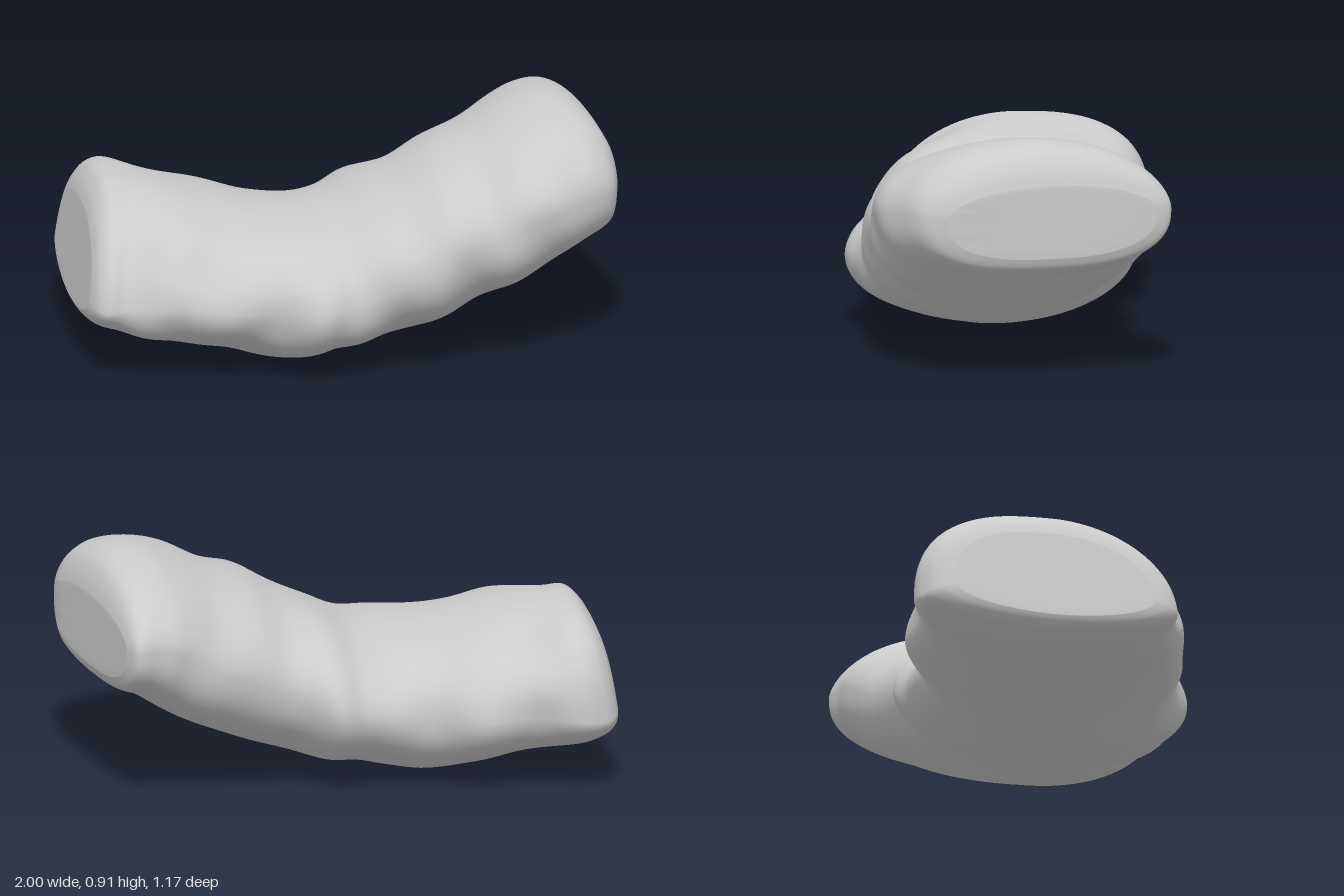
import * as THREE from 'three';

// Cross-sections along the sleeve: x, top y, bottom y, y of widest point, front z, back z
const sections = [
  [-0.995, 0.37, 0.37, 0.37, -0.08, -0.08],
  [-0.995, 0.56, 0.21, 0.31, 0.29, -0.46],
  [-0.975, 0.615, 0.185, 0.30, 0.35, -0.52],
  [-0.93, 0.66, 0.155, 0.29, 0.385, -0.565],
  [-0.84, 0.66, 0.12, 0.30, 0.385, -0.59],
  [-0.65, 0.635, 0.08, 0.31, 0.48, -0.55],
  [-0.48, 0.595, 0.04, 0.30, 0.49, -0.55],
  [-0.32, 0.563, 0.003, 0.29, 0.51, -0.475],
  [-0.17, 0.555, 0.015, 0.30, 0.58, -0.45],
  [-0.05, 0.57, 0.045, 0.32, 0.54, -0.455],
  [0.06, 0.62, 0.06, 0.34, 0.53, -0.49],
  [0.2, 0.68, 0.09, 0.40, 0.54, -0.41],
  [0.33, 0.75, 0.135, 0.46, 0.56, -0.43],
  [0.47, 0.80, 0.20, 0.51, 0.515, -0.46],
  [0.6, 0.86, 0.26, 0.58, 0.54, -0.50],
  [0.74, 0.905, 0.33, 0.63, 0.505, -0.53],
  [0.86, 0.908, 0.395, 0.65, 0.45, -0.55],
  [0.94, 0.875, 0.425, 0.65, 0.395, -0.565],
  [0.98, 0.82, 0.45, 0.65, 0.345, -0.56],
  [1.0, 0.76, 0.49, 0.65, 0.27, -0.51],
  [1.0, 0.65, 0.65, 0.65, -0.08, -0.08],
];

// Soft bulges and hollows in the cloth: x, y, z, radius, height
const bumps = [
  [-0.78, 0.18, 0.35, 0.11, 0.04],
  [-0.60, 0.42, 0.40, 0.10, -0.035],
  [-0.33, 0.14, 0.45, 0.08, 0.012],
  [-0.14, 0.42, 0.45, 0.10, -0.02],
  [0.00, 0.19, 0.46, 0.13, 0.035],
  [0.22, 0.40, 0.48, 0.08, -0.015],
  [0.55, 0.66, 0.45, 0.10, 0.015],
  [-0.68, 0.58, -0.40, 0.13, -0.03],
  [-0.30, 0.30, -0.45, 0.09, -0.02],
  [-0.70, 0.30, -0.54, 0.08, -0.02],
  [0.20, 0.38, -0.42, 0.10, -0.01],
];

// Catmull-Rom blend between neighbouring sections, straight on the end caps
function sectionAt(t) {
  const last = sections.length - 1;
  const i = Math.min(Math.floor(t), last - 1), f = t - i;
  const cap = i === 0 || i === last - 1;
  return sections[i].map((b, k) => {
    const c = sections[i + 1][k];
    if (cap) return b + (c - b) * f;
    const a = i === 1 ? b : sections[i - 1][k];
    const d = i === last - 2 ? c : sections[i + 2][k];
    const m0 = (c - a) / 2, m1 = (d - b) / 2;
    return b + m0 * f + (3 * (c - b) - 2 * m0 - m1) * f * f + (2 * (b - c) + m0 + m1) * f * f * f;
  });
}

function surfacePoint(t, angle) {
  const [x, top, bottom, wide, front, back] = sectionAt(t);
  const c = Math.cos(angle), s = Math.sin(angle);
  const low = THREE.MathUtils.smoothstep(-x, 0.3, 0.9);
  const high = THREE.MathUtils.smoothstep(x, 0.1, 0.8);
  // Roundness of each quarter: boxy at the low end's upper back and under the raised end
  let e = 1.05 - 0.27 * high;
  if (s > 0) e = c > 0 ? 0.92 + 0.08 * high + 0.1 * low : 1 - 0.28 * low;
  const round = (v) => Math.sign(v) * Math.abs(v) ** e;
  const p = new THREE.Vector3(
    x,
    wide + round(s) * (s > 0 ? top - wide : wide - bottom),
    (front + back) / 2 + round(c) * (front - back) / 2
  );
  // Bulges, plus slanting folds that fade out over the top, bottom and ends
  const inner = THREE.MathUtils.smoothstep(0.97 - Math.abs(x), 0, 0.25);
  const depth = c > 0 ? 0.011 : 0.004;
  let push = depth * c * c * inner * Math.sin(17 * (x + 0.7 * p.y * Math.sign(x + 0.1)));
  for (const [bx, by, bz, r, h] of bumps) {
    const d2 = (p.x - bx) ** 2 + (p.y - by) ** 2 + (p.z - bz) ** 2;
    push += h * Math.exp(-d2 / (r * r));
  }
  p.y += s * push;
  p.z += c * push;
  // Tilt the ends: the low end leans in at the top, the raised end slants back behind
  p.x += THREE.MathUtils.smoothstep(-x, 0.6, 0.97) * 0.15 * (p.y - 0.27);
  p.x += THREE.MathUtils.smoothstep(x, 0.5, 1) * 0.18 * Math.min(0, p.z - 0.2);
  return p;
}

export function createModel() {
  const group = new THREE.Group();
  group.name = 'bentSleeve';
  const rings = (sections.length - 1) * 6, sides = 96;
  const positions = [], index = [];
  for (let i = 0; i <= rings; i++) {
    for (let j = 0; j < sides; j++) {
      positions.push(...surfacePoint(i / 6, (j / sides) * Math.PI * 2).toArray());
      if (i === rings) continue;
      const k = (j + 1) % sides;
      const a = i * sides + j, b = a + sides, d = i * sides + k, e = d + sides;
      index.push(a, b, d, b, e, d);
    }
  }
  const geometry = new THREE.BufferGeometry();
  geometry.setAttribute('position', new THREE.Float32BufferAttribute(positions, 3));
  geometry.setIndex(index);
  geometry.computeVertexNormals();
  const sleeve = new THREE.Mesh(geometry, new THREE.MeshStandardMaterial({ color: 0xcccccc }));
  sleeve.name = 'sleeve';
  group.add(sleeve);
  return group;
}
